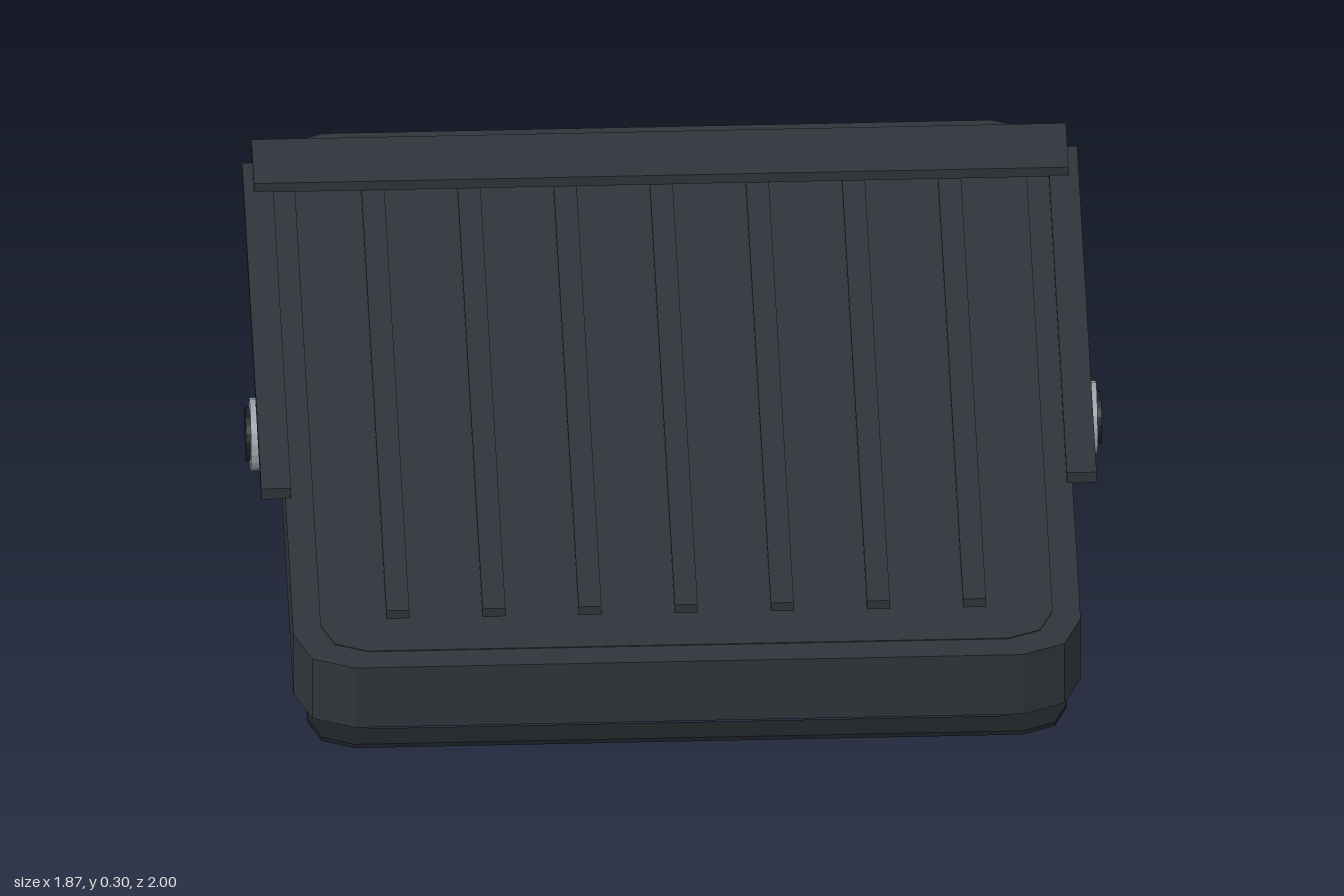
import * as THREE from 'three';

const mat = (color) => new THREE.MeshStandardMaterial({ color, flatShading: true });
const dark = mat(0x30353b);
const black = mat(0x1c2024);
const metal = mat(0x98a2a9);
const pale = mat(0xc0c8cc);

// Outline of a rectangle with corners rounded in two facets
function outline(path, hx, hz, r) {
  const corners = [[1, 1, 0], [-1, 1, 1], [-1, -1, 2], [1, -1, 3]];
  const points = [];
  for (const [sx, sz, q] of corners) {
    for (let i = 0; i <= 2; i++) {
      const a = (q + i / 2) * Math.PI / 2;
      points.push(new THREE.Vector2(sx * (hx - r) + r * Math.cos(a), sz * (hz - r) + r * Math.sin(a)));
    }
  }
  return path.setFromPoints(points);
}

export function createModel() {
  const model = new THREE.Group();

  const add = (name, geometry, material, x, y, z) => {
    const mesh = new THREE.Mesh(geometry, material);
    mesh.name = name;
    mesh.position.set(x, y, z);
    model.add(mesh);
    return mesh;
  };
  // Box and rounded plate given by their lower and upper heights
  const box = (name, w, d, y0, y1, x, z, material) =>
    add(name, new THREE.BoxGeometry(w, y1 - y0, d), material, x, (y0 + y1) / 2, z);
  const plate = (name, hx, hz, r, y0, y1, z, material, hole) => {
    const shape = outline(new THREE.Shape(), hx, hz, r);
    if (hole) shape.holes.push(outline(new THREE.Path(), ...hole));
    const geometry = new THREE.ExtrudeGeometry(shape, { depth: y1 - y0, bevelEnabled: false });
    geometry.rotateX(-Math.PI / 2);
    return add(name, geometry, material, 0, y0, z);
  };

  // Housing with its slightly raised top panel
  plate('housing', 0.86, 1, 0.13, 0.09, 0.25, 0, dark);
  plate('topPanel', 0.8, 0.94, 0.1, 0.25, 0.252, 0, dark);

  // Cooling ribs
  for (let i = -3; i <= 3; i++) {
    box('coolingRib', 0.05, 1.64, 0.25, 0.273, i * 0.21, 0, dark);
  }

  // Rear bar resting on the ribs
  box('rearBar', 1.78, 0.165, 0.273, 0.297, 0, -0.835, dark);

  // Side rails and tilt knobs
  for (const s of [-1, 1]) {
    box('sideRail', 0.065, 1.22, 0.248, 0.276, s * 0.88, -0.25, dark);
    const knob = add('knobRing', new THREE.CylinderGeometry(0.08, 0.08, 0.08, 20), metal, s * 0.885, 0.165, 0);
    const cap = add('knobCap', new THREE.CylinderGeometry(0.058, 0.058, 0.02, 20), black, s * 0.925, 0.165, 0);
    knob.rotation.z = cap.rotation.z = Math.PI / 2;
  }

  // Light assembly: reflector, lamps, diffuser and its frame
  const lampZ = 0.27;
  plate('reflector', 0.735, 0.62, 0.06, 0.067, 0.071, lampZ, pale);
  for (const x of [0.2, 0.38, 0.58]) {
    for (const s of [-1, 1]) {
      for (const z of [-0.36, 0, 0.36]) {
        box('lamp', 0.035, 0.035, 0.047, 0.055, s * x, lampZ + z, metal);
      }
    }
  }
  plate('diffuser', 0.77, 0.66, 0.06, 0.041, 0.045, lampZ, pale);
  plate('diffuserFrame', 0.83, 0.708, 0.1, 0.019, 0.029, lampZ, black, [0.765, 0.65, 0.07]);

  // Frame screws
  for (const x of [-0.74, 0.74]) {
    for (const z of [-0.36, 0.9]) {
      add('frameScrew', new THREE.CylinderGeometry(0.02, 0.02, 0.013, 12), metal, x, 0.0065, z);
    }
  }

  // Rear compartment cover with its inset and end tabs
  plate('compartmentCover', 0.73, 0.188, 0.05, 0.038, 0.046, -0.668, black);
  plate('coverInset', 0.7, 0.168, 0.04, 0.028, 0.034, -0.668, black);
  for (const z of [-0.81, -0.53]) {
    box('coverTab', 0.08, 0.06, 0.034, 0.038, -0.68, z, metal);
  }

  return model;
}
